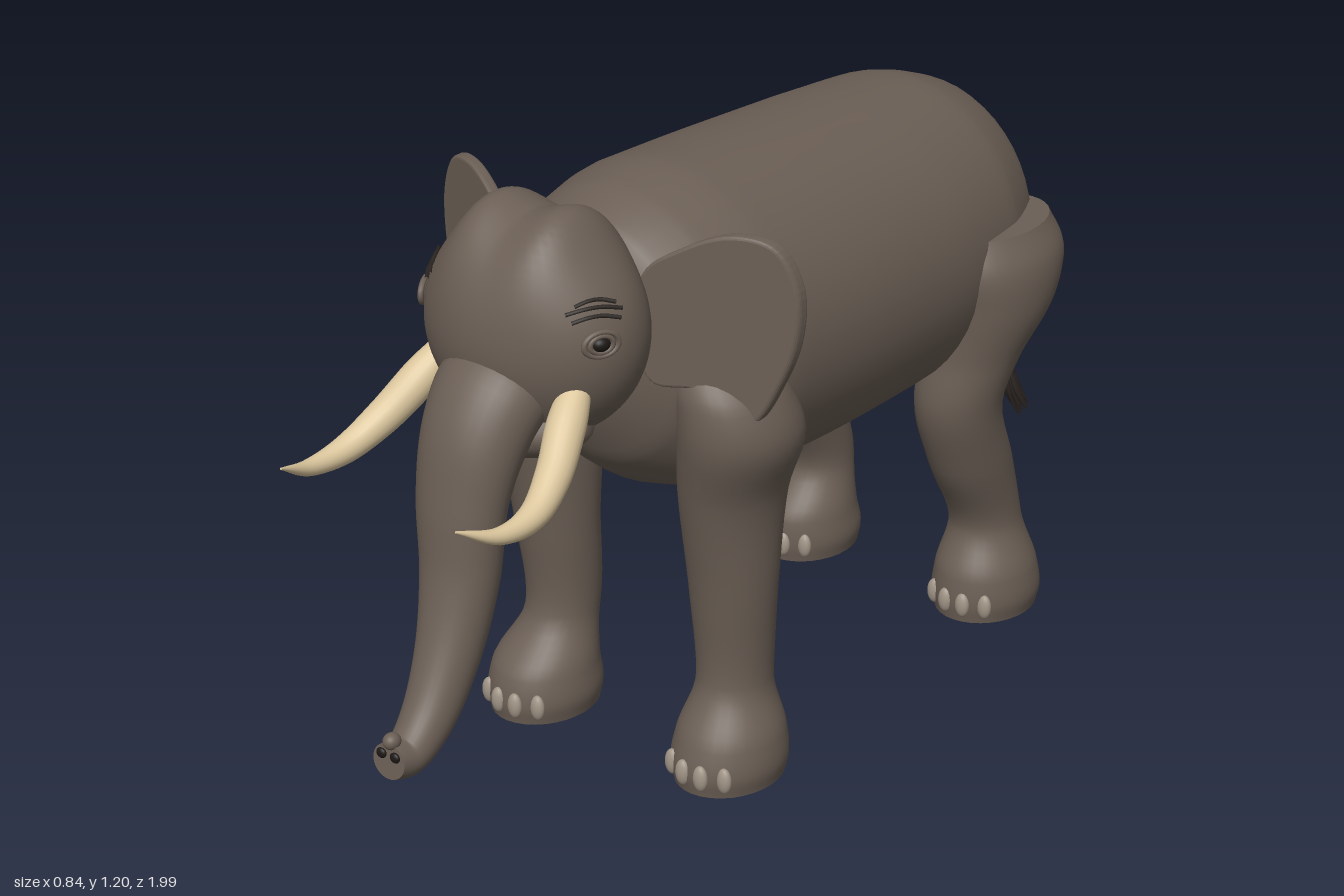
import * as THREE from 'three';

const mat = (name, color) => Object.assign(new THREE.MeshStandardMaterial({ color }), { name });
const V = (x, y, z) => new THREE.Vector3(x, y, z);

// Smooth skin through elliptical rings [x, y, z, radiusAcross, radiusOther], closed by flat caps.
// The rings face along "axis", or along the path when no axis is given.
function loft(rings, { axis = null, steps = 6, sides = 32 } = {}) {
  const path = new THREE.CatmullRomCurve3(rings.map(r => V(r[0], r[1], r[2])));
  const radii = new THREE.CatmullRomCurve3(rings.map(r => V(r[3], r[4] ?? r[3], 0)));
  const n = (rings.length - 1) * steps;
  const pos = [], idx = [];
  for (let i = 0; i <= n; i++) {
    const p = path.getPoint(i / n), r = radii.getPoint(i / n);
    const t = axis ? axis.clone() : path.getTangent(i / n);
    const u = V(1, 0, 0).addScaledVector(t, -t.x).normalize();
    const v = t.clone().cross(u);
    for (let j = 0; j < sides; j++) {
      const a = j / sides * Math.PI * 2;
      const q = p.clone().addScaledVector(u, Math.cos(a) * Math.max(r.x, 0.001))
        .addScaledVector(v, Math.sin(a) * Math.max(r.y, 0.001));
      pos.push(q.x, q.y, q.z);
      if (i < n) {
        const k = (j + 1) % sides, A = i * sides + j, B = i * sides + k;
        idx.push(A, B, A + sides, B, B + sides, A + sides);
      }
    }
  }
  for (const end of [0, n]) {
    const base = pos.length / 3, c = path.getPoint(end / n);
    const from = end * sides * 3;
    pos.push(...pos.slice(from, from + sides * 3), c.x, c.y, c.z);
    for (let j = 0; j < sides; j++) {
      const A = base + j, B = base + (j + 1) % sides, C = base + sides;
      end ? idx.push(A, B, C) : idx.push(B, A, C);
    }
  }
  const g = new THREE.BufferGeometry();
  g.setAttribute('position', new THREE.Float32BufferAttribute(pos, 3));
  g.setIndex(idx);
  g.computeVertexNormals();
  return g;
}

export function createModel() {
  const model = new THREE.Group();
  const skin = mat('skin', 0x6b5f55), ivory = mat('ivory', 0xdcc79e), nail = mat('nail', 0xa09486);
  const hair = mat('hair', 0x2b2521), eyeDark = mat('eye', 0x1c1815);
  const add = (parent, name, geo, material) => {
    const m = new THREE.Mesh(geo, material);
    m.name = name;
    parent.add(m);
    return m;
  };
  const ball = (parent, name, material, p, s) => {
    const m = add(parent, name, new THREE.SphereGeometry(1, 20, 14), material);
    m.position.set(...p);
    m.scale.set(...s);
    return m;
  };

  // Barrel body, rump to neck
  add(model, 'body', loft([
    [0, .8, -.885, .005, .005], [0, .8, -.865, .09, .12], [0, .8, -.82, .175, .2],
    [0, .81, -.72, .255, .275], [0, .815, -.6, .3, .31], [0, .82, -.4, .32, .32],
    [0, .83, -.1, .325, .327], [0, .845, .15, .315, .325], [0, .86, .28, .28, .295],
    [0, .88, .37, .22, .235], [0, .9, .43, .1, .12], [0, .9, .44, .005, .005],
  ], { axis: V(0, 0, 1), sides: 48 }), skin);

  // Skull with two domes on top
  const skull = new THREE.SphereGeometry(1, 56, 40);
  const sp = skull.attributes.position;
  for (let i = 0; i < sp.count; i++) {
    const x = sp.getX(i) * .222, up = Math.max(0, sp.getY(i));
    const dome = .038 * up * Math.exp(-(((Math.abs(x) - .09) / .055) ** 2));
    sp.setXYZ(i, x, .97 + sp.getY(i) * .212 + dome, .52 + sp.getZ(i) * .175);
  }
  skull.computeVertexNormals();
  add(model, 'head', skull, skin);
  ball(model, 'lowerJaw', skin, [0, .805, .57], [.15, .068, .11]);

  // Trunk, swinging slightly to the left, with nostrils and finger at the tip
  add(model, 'trunk', loft([
    [0, .9, .56, .085, .07], [0, .88, .635, .115, .09], [0, .81, .695, .105, .085],
    [0, .7, .735, .092, .07], [.008, .56, .757, .078, .066], [.018, .43, .805, .062, .06],
    [.026, .325, .875, .05, .05], [.03, .28, .94, .042, .04], [.03, .285, .985, .037, .034],
  ]), skin);
  ball(model, 'trunkFinger', skin, [.03, .322, .975], [.016, .016, .018]);
  for (const x of [.014, .046]) ball(model, 'nostril', eyeDark, [x, .298, .986], [.011, .01, .006]);

  // Point on the skull surface at an angle from the front and a height
  const onSkull = (angle, y, out = 1.01) => {
    const k = Math.sqrt(1 - ((y - .97) / .212) ** 2) * out;
    return V(.222 * k * Math.sin(angle), y, .52 + .175 * k * Math.cos(angle));
  };

  // Ear outline
  const ear = [[.16, 1.06], [.22, 1.11], [.3, 1.143], [.37, 1.13], [.408, 1.06], [.408, .96], [.38, .87],
    [.335, .79], [.3, .79], [.25, .85], [.17, .86]];
  const earShape = new THREE.Shape(new THREE.CatmullRomCurve3(ear.map(p => V(p[0], p[1], 0)), true)
    .getPoints(70).slice(0, -1).map(p => new THREE.Vector2(p.x, p.y)));

  const frontLeg = [[.23, 0, .25, .1, .12], [.23, .04, .25, .108, .125], [.23, .1, .245, .1, .113],
    [.223, .2, .225, .072, .078], [.226, .4, .235, .085, .086], [.233, .6, .245, .097, .114],
    [.262, .73, .26, .113, .13], [.25, .82, .275, .1, .115], [.21, .89, .28, .08, .08]];
  const hindLeg = [[.23, 0, -.635, .1, .12], [.23, .04, -.635, .108, .125], [.23, .1, -.632, .1, .115],
    [.222, .2, -.635, .073, .08], [.222, .35, -.572, .08, .098], [.226, .5, -.515, .087, .095],
    [.243, .61, -.535, .097, .105], [.27, .72, -.575, .105, .143], [.27, .81, -.588, .103, .163],
    [.24, .875, -.59, .1, .15]];

  for (const s of [1, -1]) {
    const side = new THREE.Group();
    side.name = s > 0 ? 'leftSide' : 'rightSide';
    side.scale.x = s;
    model.add(side);

    // Legs; the right pair stands a little further back above the feet
    for (const [name, rings] of [['frontLeg', frontLeg], ['hindLeg', hindLeg]]) {
      const shifted = rings.map(([x, y, z, a, b]) => [x, y, s < 0 && y > .15 ? z - .025 : z, a, b]);
      add(side, name, loft(shifted, { axis: V(0, 1, 0) }), skin);
      const [fx, , fz, rx, rz] = rings[1];
      for (const dx of [-.062, -.021, .021, .062]) {
        const z = fz + rz * Math.sqrt(1 - (dx / rx) ** 2);
        ball(side, 'toenail', nail, [fx + dx, .04, z - .003], [.016, .027, .012]);
      }
    }

    // Ear, swept back from the head
    const earGeo = new THREE.ExtrudeGeometry(earShape, {
      depth: .012, bevelEnabled: true, bevelSize: .006, bevelThickness: .008, bevelSegments: 3,
    });
    const ep = earGeo.attributes.position;
    for (let i = 0; i < ep.count; i++) ep.setZ(i, ep.getZ(i) + .385 - (ep.getX(i) - .18) * .45);
    earGeo.computeVertexNormals();
    add(side, 'ear', earGeo, skin);

    // Tusk
    add(side, 'tusk', loft([
      [.152, .905, .595, .028], [.172, .855, .65, .036], [.2, .795, .72, .033],
      [.22, .755, .8, .026], [.222, .753, .89, .016], [.203, .79, .98, .002],
    ], { sides: 20 }), ivory);

    // Eye with lids
    const eye = new THREE.Group();
    eye.name = 'eye';
    eye.position.copy(onSkull(1.17, 1));
    eye.rotation.y = 1.12;
    side.add(eye);
    ball(eye, 'eyeball', eyeDark, [0, 0, -.002], [.018, .014, .014]);
    for (const [r, sy] of [[.022, .72], [.033, .7]]) {
      const lid = add(eye, 'eyelid', new THREE.TorusGeometry(r, .006, 8, 28), skin);
      lid.scale.y = sy;
    }

    // Brow hairs
    for (const [y, a, b] of [[1.042, .9, 1.4], [1.056, .85, 1.45], [1.068, .95, 1.4]]) {
      const pts = [0, .33, .66, 1].map(t =>
        onSkull(a + (b - a) * t, y + .008 * Math.sin(t * Math.PI), t === 1 ? 1.06 : 1.025));
      add(side, 'brow', new THREE.TubeGeometry(new THREE.CatmullRomCurve3(pts), 12, .004, 6), hair);
    }
  }

  // Tail and its tuft of hairs
  add(model, 'tail', loft([
    [0, .92, -.83, .03], [.005, .875, -.9, .036, .028], [.015, .76, -.943, .026, .022],
    [.032, .6, -.964, .019], [.055, .45, -.952, .014], [.06, .375, -.945, .011],
  ], { sides: 16 }), skin);
  for (let i = 0; i < 11; i++) {
    const a = i * 2.4, r = Math.sqrt(i / 11);
    const dx = r * Math.cos(a), dz = r * Math.sin(a);
    add(model, 'tailHair', loft([
      [.061 + dx * .009, .395, -.947 + dz * .009, .005],
      [.073 + dx * .016, .33, -.956 + dz * .014, .007],
      [.086 + dx * .024, .255 + r * .03, -.974 + dz * .02, .001],
    ], { sides: 6, steps: 4 }), hair);
  }
  return model;
}
